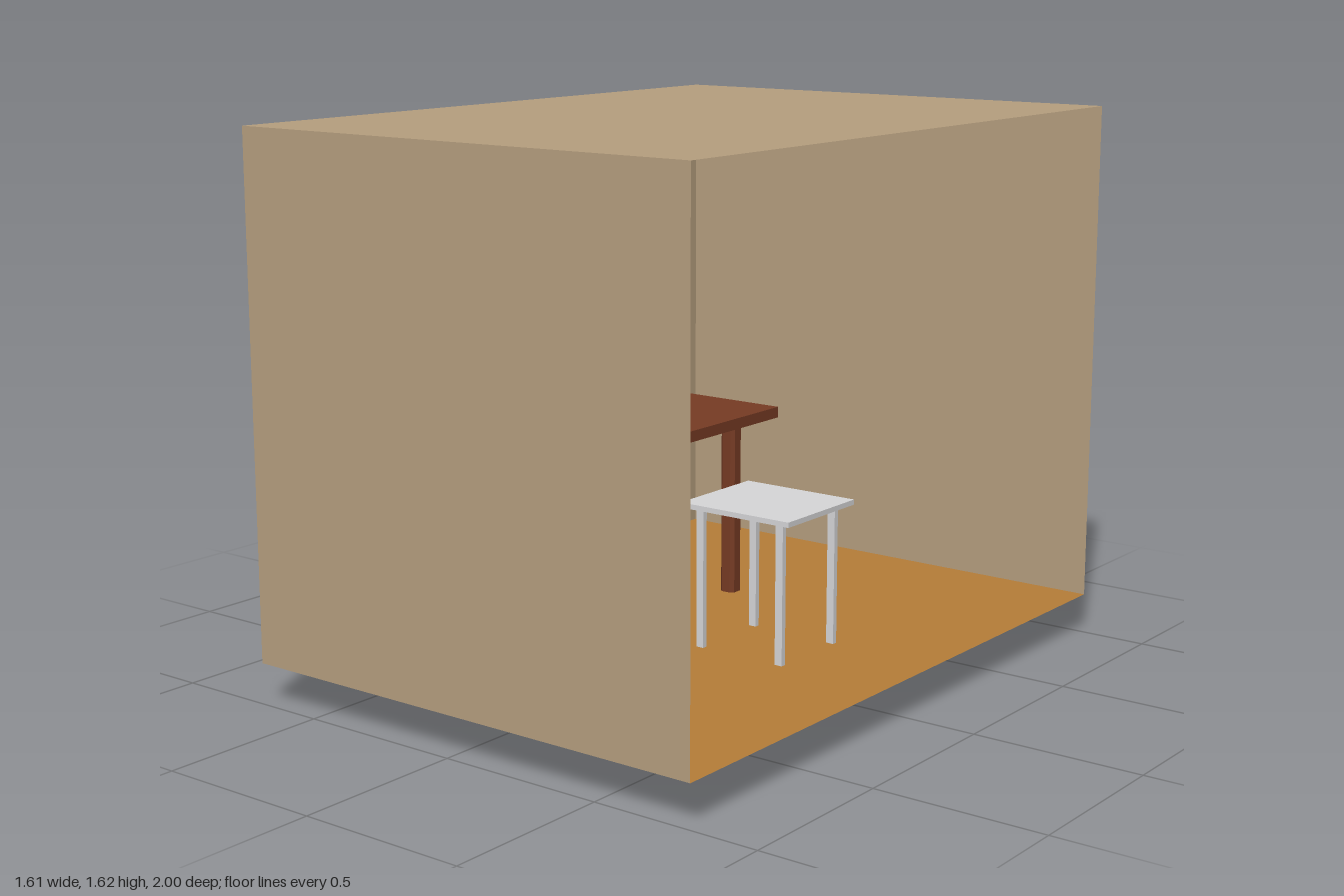
import * as THREE from 'three';

const mat = (name, color, side = THREE.FrontSide) => {
  const m = new THREE.MeshStandardMaterial({ color, side });
  m.name = name;
  return m;
};

export function createModel() {
  const model = new THREE.Group();
  const D = THREE.DoubleSide;
  const wallTan = mat('wall tan', 0xb59e7e, D);
  const floorBrown = mat('floor brown', 0xb57d38, D);
  const wood = mat('desk wood', 0x763b24);
  const metal = mat('light grey', 0xd6d6d8);
  const sky = mat('sky blue', 0x0e3f94, D);
  const farHill = mat('far hill blue', 0x287099, D);
  const midHill = mat('mid hill teal', 0x4cbd94, D);
  const grass = mat('grass green', 0x38ad2e, D);

  const add = (name, geo, material, parent = model) => {
    const m = new THREE.Mesh(geo, material);
    m.name = name;
    parent.add(m);
    return m;
  };
  // Box from min and max corners; faces listed in skip are left open (0 +x, 1 -x, 2 +y, 3 -y, 4 +z, 5 -z)
  const boxGeo = (x0, x1, y0, y1, z0, z1, skip = []) => {
    const g = new THREE.BoxGeometry(x1 - x0, y1 - y0, z1 - z0);
    g.translate((x0 + x1) / 2, (y0 + y1) / 2, (z0 + z1) / 2);
    if (skip.length) {
      g.setIndex(Array.from(g.index.array).filter((_, i) => !skip.includes(Math.floor(i / 6))));
      g.clearGroups();
    }
    return g;
  };
  // Flat shape given as [z, y] points, standing at a fixed x
  const flat = (pts, x, holes = []) => {
    const v = (a) => a.map(([z, y]) => new THREE.Vector2(z, y));
    const s = new THREE.Shape(v(pts));
    holes.forEach((h) => s.holes.push(new THREE.Path(v(h))));
    return new THREE.ShapeGeometry(s).rotateY(-Math.PI / 2).translate(x, 0, 0);
  };
  const rect = (z0, z1, y0, y1) => [[z0, y0], [z1, y0], [z1, y1], [z0, y1]];

  // Room shell, open on +x
  const F = 0.12, T = 1.615;
  add('roomShell', boxGeo(-0.7, 0.8, F, T, -1, 1, [0, 1, 3]), wallTan);
  add('floor', boxGeo(-0.7, 0.8, F, T, -1, 1, [0, 1, 2, 4, 5]), floorBrown);

  // Window wall and the three recesses behind its openings
  const panes = [[-0.2, 0.45, 0.8, 1.4], [-0.45, -0.245, 0.8, 1.21], [-0.45, -0.245, 1.25, 1.4]];
  add('windowWall', flat(rect(-1, 1, F, T), -0.7, panes.map((p) => rect(...p))), wallTan);
  panes.forEach(([z0, z1, y0, y1]) =>
    add('windowRecess', boxGeo(-0.805, -0.7, y0, y1, z0, z1, [0]), wallTan));

  // Landscape sheet: bands between height lines, running from -z to +z
  const S = 0.488, X = -0.78;
  const landscape = new THREE.Group();
  landscape.name = 'landscape';
  model.add(landscape);
  const level = (y) => [[-S, y], [S, y]];
  const grassLine = [[-S, 0.9], [-0.45, 0.893], [-0.4, 0.877], [-0.3, 0.888], [-0.245, 0.905], [-0.2, 0.877],
    [-0.12, 0.893], [0, 0.872], [0.1, 0.885], [0.22, 0.893], [0.31, 0.905], [0.39, 0.888], [S, 0.9]];
  const midLine = [[-S, 1.05], [-0.45, 1.055], [-0.4, 1.068], [-0.32, 1.05], [-0.245, 1.045], [-0.2, 1.058],
    [-0.1, 1.048], [0, 1.045], [0.2, 1.045], [0.225, 1.08], [0.25, 1.09], [0.25, 1.14], [0.275, 1.15],
    [0.305, 1.14], [0.29, 1.1], [0.33, 1.102], [0.42, 1.1], [0.45, 1.09], [S, 1.09]];
  const farLine = [[-S, 1.18], [0.1, 1.178], [0.22, 1.185], [0.295, 1.21], [0.35, 1.19], [0.45, 1.222], [S, 1.23]];
  const lines = [level(0.767), level(0.795), grassLine, midLine, farLine, level(1.405), level(1.433)];
  const bands = [['lowerSkyEdge', sky], ['grass', grass], ['midHills', midHill],
    ['farHills', farHill], ['sky', sky], ['upperGrassEdge', grass]];
  bands.forEach(([name, m], i) =>
    add(name, flat([...lines[i], ...[...lines[i + 1]].reverse()], X), m, landscape));
  // Loose leaves beside the tree
  [[0.315, 1.17], [0.325, 1.155], [0.305, 1.15], [0.3, 1.12]].forEach(([z, y]) =>
    add('leaf', flat(rect(z - 0.006, z + 0.006, y - 0.008, y + 0.008), X + 0.002), midHill, landscape));

  // Desk: top and four legs with chamfered corners
  const desk = new THREE.Group();
  desk.name = 'desk';
  model.add(desk);
  add('deskTop', boxGeo(-0.69, 0.01, 0.662, 0.695, -0.48, 0.48), wood, desk);
  const a = 0.025, c = 0.015;
  const legShape = new THREE.Shape([[a, c], [c, a], [-c, a], [-a, c], [-a, -c], [-c, -a], [c, -a], [a, -c]]
    .map(([x, y]) => new THREE.Vector2(x, y)));
  const legGeo = new THREE.ExtrudeGeometry(legShape, { depth: 0.665, bevelEnabled: false }).rotateX(-Math.PI / 2);
  for (const x of [-0.598, -0.09]) for (const z of [-0.375, 0.385])
    add('deskLeg', legGeo, wood, desk).position.set(x, 0, z);

  // Stool
  const stool = new THREE.Group();
  stool.name = 'stool';
  model.add(stool);
  add('stoolSeat', boxGeo(0.13, 0.5, 0.528, 0.543, -0.16, 0.165), metal, stool);
  for (const x of [0.18, 0.453]) for (const z of [-0.123, 0.133])
    add('stoolLeg', boxGeo(x - 0.012, x + 0.012, 0.088, 0.53, z - 0.008, z + 0.008), metal, stool);

  // Open book on the desk
  const book = new THREE.Group();
  book.name = 'book';
  model.add(book);
  add('bookCover', boxGeo(-0.43, -0.23, 0.695, 0.704, -0.145, 0.145), wood, book);
  for (const s of [-1, 1])
    add('bookPages', boxGeo(-0.42, -0.24, 0.704, 0.72, Math.min(s * 0.135, s * 0.006), Math.max(s * 0.135, s * 0.006)), metal, book);
  add('bookSpine', boxGeo(-0.42, -0.24, 0.704, 0.728, -0.006, 0.006), wood, book);
  add('bookBand', boxGeo(-0.37, -0.29, 0.726, 0.734, -0.02, 0.02), wood, book);

  return model;
}
